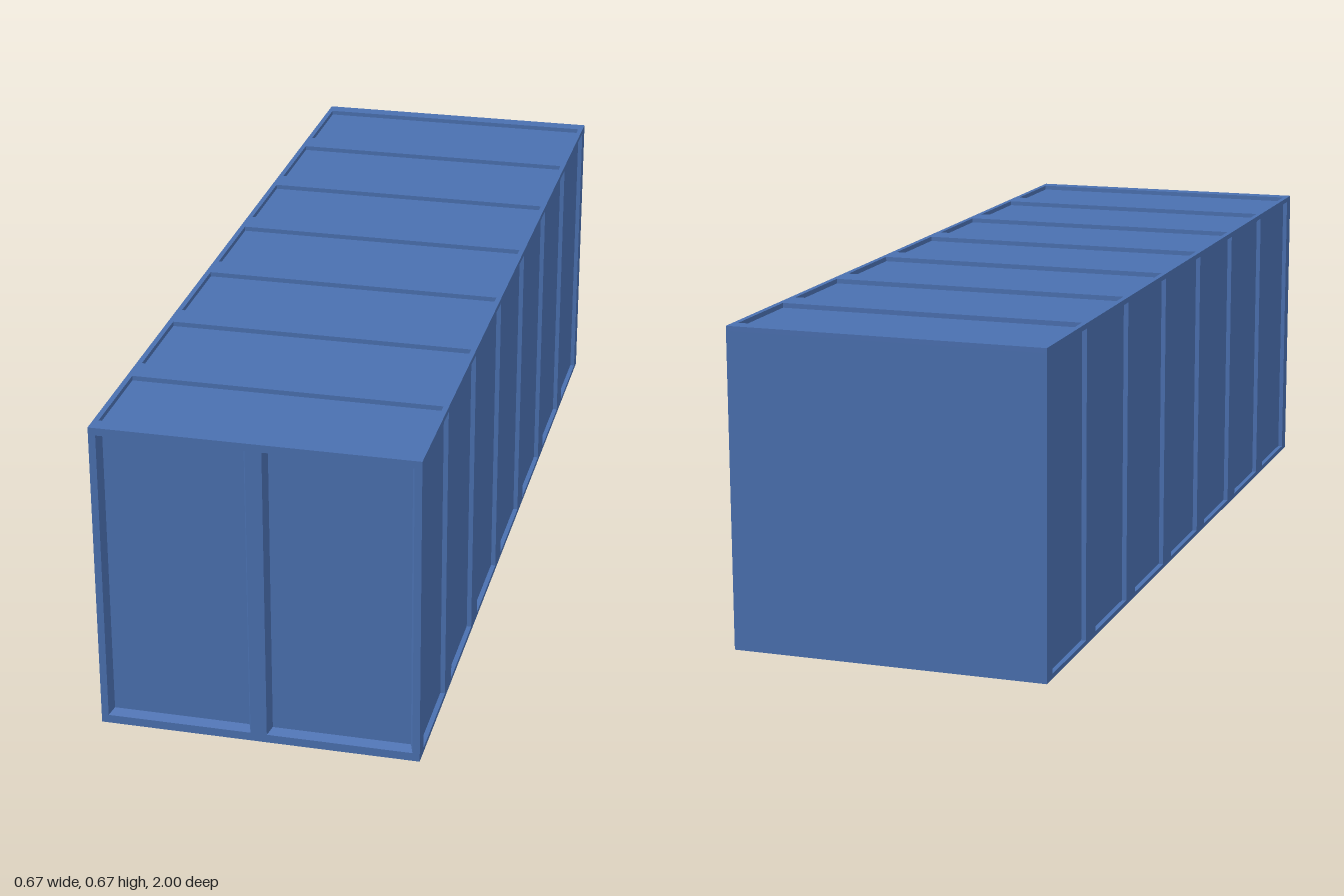
import * as THREE from 'three';

const W = 0.335, H = 0.673;        // half width, height
const D = 0.01;                    // depth of the wall and roof recesses
const DOOR = 0.02;                 // depth of the door recesses
const material = new THREE.MeshStandardMaterial({ color: 0x4a70b0 });

// corner points of a rectangle, counter-clockwise
const rect = (x0, y0, x1, y1) => [[x0, y0], [x1, y0], [x1, y1], [x0, y1]];
const vecs = (pts) => pts.map(([x, y]) => new THREE.Vector2(x, y));

export function createModel() {
  const group = new THREE.Group();

  const add = (name, geometry, x = 0, y = 0, z = 0) => {
    const mesh = new THREE.Mesh(geometry, material);
    mesh.name = name;
    mesh.position.set(x, y, z);
    group.add(mesh);
  };
  const extrude = (shape, depth) => new THREE.ExtrudeGeometry(shape, { depth, bevelEnabled: false });

  // Recessed body: its front face forms the door panels
  add('body', new THREE.BoxGeometry(2 * (W - D), H - D, 2 - DOOR), 0, (H - D) / 2, -DOOR / 2);

  // Arched ribs wrapping both walls and the roof
  const arch = new THREE.Shape(vecs([
    [-W, 0], [-W + D, 0], [-W + D, H - D], [W - D, H - D],
    [W - D, 0], [W, 0], [W, H], [-W, H],
  ]));
  add('backRib', extrude(arch, 0.035), 0, 0, -1);
  add('frontRib', extrude(arch, 0.035 - DOOR), 0, 0, 0.965);
  for (let i = 0; i < 6; i++) {
    add('rib', extrude(arch, 0.065), 0, 0, -0.7155 + (i - 0) * 0.2862 - 0.0325);
  }

  // Long rails along the four edges
  for (const side of [-1, 1]) {
    add('topRail', new THREE.BoxGeometry(D + 0.001, D + 0.001, 2 - DOOR),
      side * (W - (D + 0.001) / 2), H - (D + 0.001) / 2, -DOOR / 2);
    add('bottomRail', new THREE.BoxGeometry(D, D, 2 - DOOR), side * (W - D / 2), D / 2, -DOOR / 2);
  }

  // Front frame with two door openings
  const frame = new THREE.Shape(vecs(rect(-W, 0, W, H)));
  const openings = [[-0.32, -0.017], [0.017, 0.32]];
  for (const [x0, x1] of openings) {
    frame.holes.push(new THREE.Path(vecs(rect(x0, 0.018, x1, 0.657).reverse())));
  }
  add('doorFrame', extrude(frame, DOOR), 0, 0, 1 - DOOR);

  // Sloping surround inside each door opening
  const B = 0.0075;
  for (const [x0, x1] of openings) {
    const outer = rect(x0, 0.018, x1, 0.657);
    const inner = rect(x0 + B, 0.018 + B, x1 - B, 0.657 - B);
    const pos = [];
    for (let i = 0; i < 4; i++) {
      const j = (i + 1) % 4;
      const a = [...outer[i], 1], b = [...outer[j], 1];
      const c = [...inner[j], 1 - DOOR], d = [...inner[i], 1 - DOOR];
      pos.push(...a, ...b, ...c, ...a, ...c, ...d);
    }
    const geometry = new THREE.BufferGeometry();
    geometry.setAttribute('position', new THREE.Float32BufferAttribute(pos, 3));
    geometry.computeVertexNormals();
    add('doorSurround', geometry);
  }

  return group;
}
